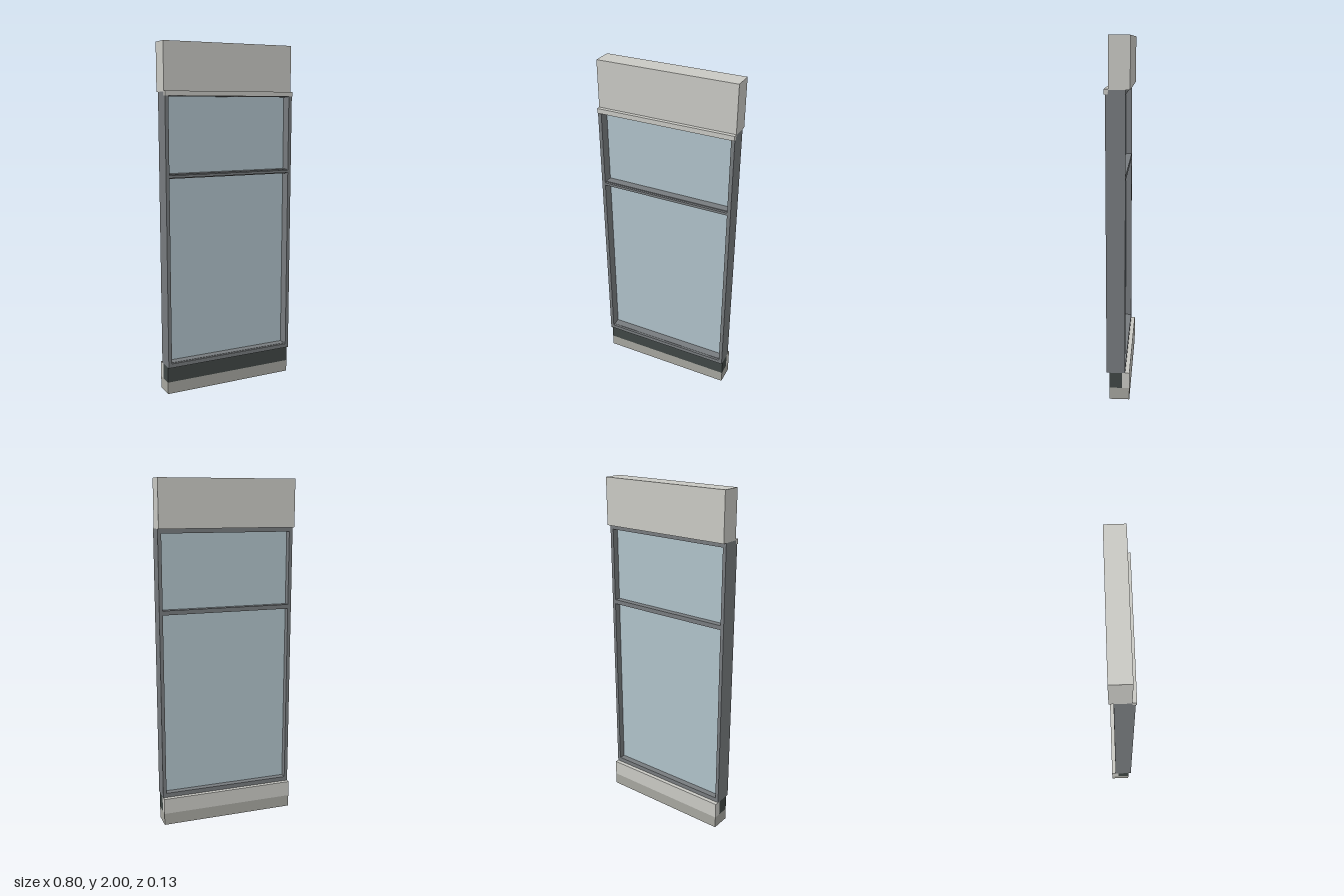
import * as THREE from 'three';

const material = (name, color) => {
  const m = new THREE.MeshStandardMaterial({ color });
  m.name = name;
  return m;
};

export function createModel() {
  const concrete = material('light concrete', 0xc9c9c4);
  const stone = material('grey floor slab', 0xa6a69f);
  const metal = material('grey metal frame', 0x777b7e);
  const dark = material('dark panel', 0x404745);
  const glass = material('pale blue glass', 0xb0c2ca);

  const model = new THREE.Group();
  model.name = 'windowWallPanel';

  // Box given by its limits on each axis
  const box = (name, mat, [x0, x1], [y0, y1], [z0, z1], parent = model) => {
    const mesh = new THREE.Mesh(new THREE.BoxGeometry(x1 - x0, y1 - y0, z1 - z0), mat);
    mesh.position.set((x0 + x1) / 2, (y0 + y1) / 2, (z0 + z1) / 2);
    mesh.name = name;
    parent.add(mesh);
  };

  const W = 0.4, inner = 0.38;
  const full = [-W, W], opening = [-inner, inner];
  const wallZ = [-0.067, 0.045];

  // Wall above the window, with a drip lip along its front
  box('upperWall', concrete, full, [1.73, 2], wallZ);
  box('dripLip', concrete, full, [1.708, 1.735], [0.045, 0.067]);

  // Foot of the wall: slab, dark front panel and upstand behind it
  box('floorSlab', stone, full, [0, 0.07], wallZ);
  box('spandrelPanel', dark, full, [0.07, 0.162], [-0.025, 0.045]);
  box('rearUpstand', concrete, full, [0.07, 0.162], [-0.067, -0.025]);

  // Window frame: deep bars with shallow cover caps in front
  const frame = new THREE.Group();
  frame.name = 'windowFrame';
  model.add(frame);
  const barZ = [-0.043, 0.048], capZ = [0.048, 0.061];
  for (const [side, x] of [['left', [inner, W]], ['right', [-W, -inner]]]) {
    box(side + 'Jamb', metal, x, [0.162, 1.73], barZ, frame);
    box(side + 'JambCap', metal, x, [0.162, 1.708], capZ, frame);
  }
  box('topRail', metal, opening, [1.705, 1.73], barZ, frame);
  box('transom', metal, opening, [1.255, 1.28], barZ, frame);
  box('transomCap', metal, opening, [1.26, 1.275], capZ, frame);
  box('bottomRail', metal, opening, [0.162, 0.188], barZ, frame);
  box('bottomRailCap', metal, opening, [0.162, 0.186], capZ, frame);

  // Glass panes
  box('lowerPane', glass, opening, [0.188, 1.255], [-0.006, 0.002]);
  box('upperPane', glass, opening, [1.28, 1.705], [-0.006, 0.002]);

  return model;
}
